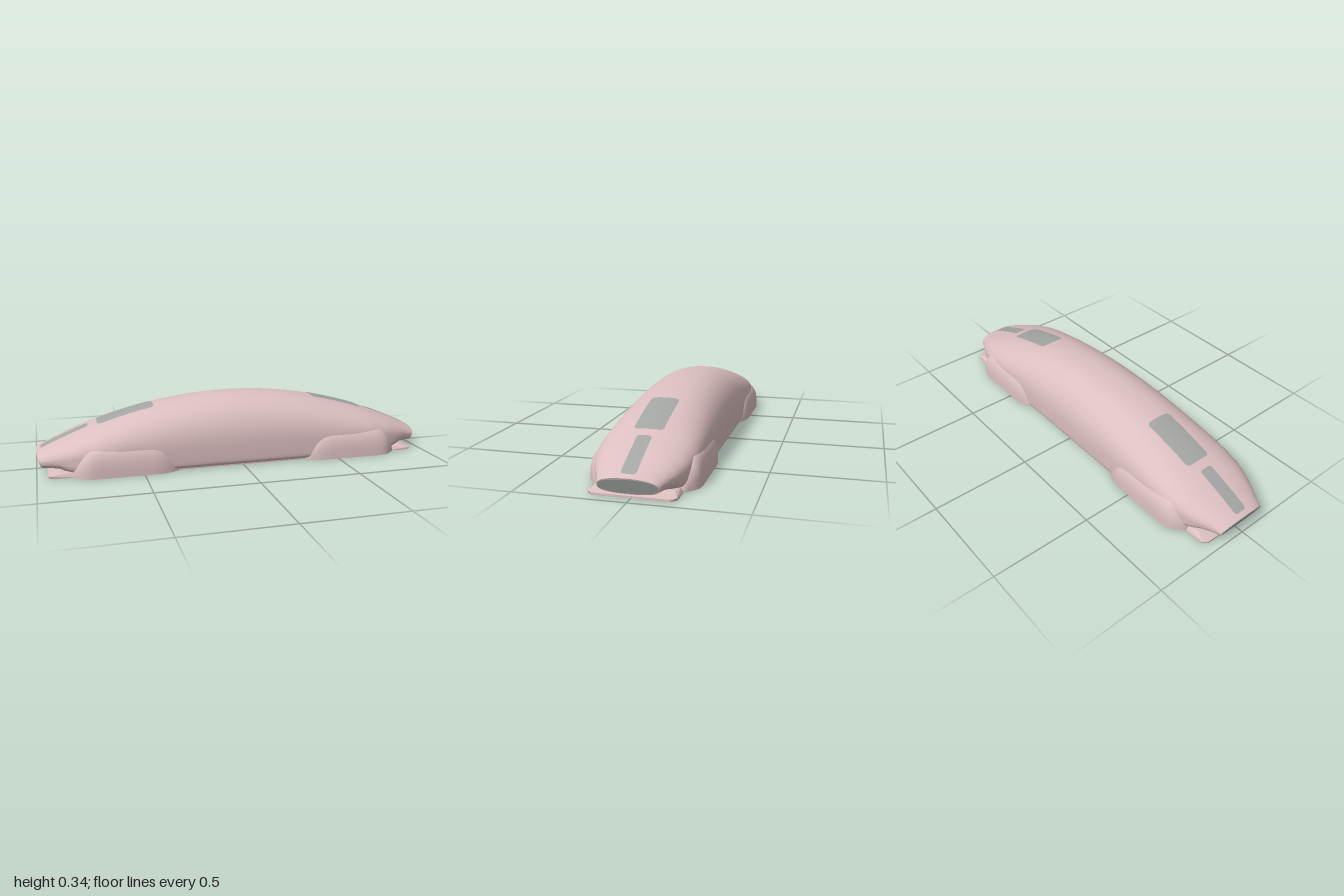
import * as THREE from 'three';
import { toCreasedNormals } from 'three/addons/utils/BufferGeometryUtils.js';
import { ConvexGeometry } from 'three/addons/geometries/ConvexGeometry.js';

const V = (x, y, z) => new THREE.Vector3(x, y, z);

// Piecewise linear lookup in rows of [x, value...]
function lookup(rows, x) {
  let i = 1;
  while (i < rows.length - 1 && x > rows[i][0]) i++;
  const a = rows[i - 1], b = rows[i];
  const t = THREE.MathUtils.clamp((x - a[0]) / (b[0] - a[0]), 0, 1);
  return a.slice(1).map((v, k) => v + (b[k + 1] - v) * t);
}

// Skin closed rings and cap both ends
function loft(rings, flip = false, crease = 0.6) {
  const n = rings[0].length, pos = [], idx = [];
  const tri = (a, b, c) => (flip ? idx.push(a, c, b) : idx.push(a, b, c));
  rings.forEach(r => r.forEach(p => pos.push(p.x, p.y, p.z)));
  for (let i = 0; i < rings.length - 1; i++) {
    for (let j = 0; j < n; j++) {
      const a = i * n + j, b = i * n + (j + 1) % n;
      tri(a, a + n, b);
      tri(b, a + n, b + n);
    }
  }
  [0, rings.length - 1].forEach(i => {
    const c = rings[i].reduce((s, p) => s.add(p), V(0, 0, 0)).divideScalar(n);
    const k = pos.length / 3;
    pos.push(c.x, c.y, c.z);
    for (let j = 0; j < n; j++) {
      const a = i * n + j, b = i * n + (j + 1) % n;
      if (i === 0) tri(k, a, b); else tri(k, b, a);
    }
  });
  const g = new THREE.BufferGeometry();
  g.setAttribute('position', new THREE.Float32BufferAttribute(pos, 3));
  g.setIndex(idx);
  return toCreasedNormals(g, crease);
}

// Hull stations: x, half width, widest height, bottom, squareness below
const HULL = [
  [0, 0.23, 0.1, 0, 9], [0.6, 0.23, 0.1, 0, 9], [0.7, 0.226, 0.098, 0, 9],
  [0.8, 0.208, 0.09, 0.002, 6], [0.9, 0.172, 0.074, 0.02, 3], [1, 0.13, 0.058, 0.024, 2.6],
];
const DOME = 2.3;
const END = 0.997;
const roofY = x => 0.338 - 0.24 * x * x;
const power = (v, e) => Math.sign(v) * Math.pow(Math.abs(v), e);

function hullRing(x, segments = 64) {
  const ax = Math.abs(x), top = roofY(x);
  const [w, mid, low, sq] = lookup(HULL, ax);
  const rake = 0.4 * THREE.MathUtils.smoothstep(ax, 0.85, 1);
  return Array.from({ length: segments }, (_, j) => {
    const a = (j / segments) * Math.PI * 2, s = Math.sin(a);
    const e = 2 / (s >= 0 ? DOME : sq);
    const y = mid + (s >= 0 ? top - mid : mid - low) * power(s, e);
    return V(x - Math.sign(x) * rake * (top - y), y, w * power(Math.cos(a), e));
  });
}

function hullTop(x, z) {
  const [w, mid] = lookup(HULL, Math.abs(x));
  return mid + (roofY(x) - mid) * Math.pow(1 - Math.pow(Math.abs(z) / w, DOME), 1 / DOME);
}

// Rounded panel lying on the roof
function roofPanel(xc, length, halfWidth, r) {
  const g = new THREE.PlaneGeometry(1, 1, 32, 8).rotateX(-Math.PI / 2);
  const p = g.attributes.position;
  for (let i = 0; i < p.count; i++) {
    const dx = Math.sin(p.getX(i) * Math.PI) * length / 2;
    const k = Math.max(0, r - (length / 2 - Math.abs(dx)));
    const half = halfWidth - r + Math.sqrt(Math.max(0, r * r - k * k));
    const z = p.getZ(i) * 2 * half;
    p.setXYZ(i, xc + dx, hullTop(xc + dx, z) + 0.002, z);
  }
  g.computeVertexNormals();
  return g;
}

// Fender stations: x, outer half width, height
const FENDER = [
  [0.33, 0.215, 0.03], [0.36, 0.232, 0.085], [0.39, 0.242, 0.122], [0.42, 0.248, 0.142],
  [0.46, 0.25, 0.15], [0.7, 0.25, 0.15], [0.745, 0.249, 0.142], [0.775, 0.242, 0.122],
  [0.8, 0.225, 0.092], [0.82, 0.206, 0.06], [0.835, 0.19, 0.02],
];

function fenderGeometry(sx, sz) {
  const inner = 0.15;
  const rings = FENDER.map(([x, w, h]) => {
    const ring = [];
    for (let j = 0; j <= 14; j++) {
      const a = (j / 14) * Math.PI / 2;
      const c = Math.pow(Math.max(0, Math.cos(a)), 2 / 3), s = Math.pow(Math.sin(a), 2 / 3);
      ring.push(V(sx * x, h * s, sz * (inner + (w - inner) * c)));
    }
    ring.push(V(sx * x, 0, sz * inner));
    return ring;
  });
  return loft(rings, sx * sz < 0, 0.75);
}

export function createModel() {
  const group = new THREE.Group();
  const pink = new THREE.MeshStandardMaterial({ color: 0xdcbfc0 });
  const grey = new THREE.MeshStandardMaterial({ color: 0xa3a6a3 });
  const add = (name, geometry, material) => {
    const m = new THREE.Mesh(geometry, material);
    m.name = name;
    group.add(m);
  };

  // Arched hull
  const rings = [];
  for (let i = 0; i <= 80; i++) rings.push(hullRing(END * (i / 40 - 1)));
  add('hull', loft(rings), pink);

  // Flat floor
  const floor = [];
  for (const sx of [-1, 1]) for (const sz of [-1, 1]) for (const y of [0, 0.02]) {
    floor.push(V(sx * 0.76, y, sz * 0.21), V(sx * 0.83, y, sz * 0.18));
  }
  add('floor', new ConvexGeometry(floor), pink);

  for (const sx of [-1, 1]) {
    // Wheel fenders
    for (const sz of [-1, 1]) add('fender', fenderGeometry(sx, sz), pink);

    // Low plate under each nose
    const plate = [];
    for (const sz of [-1, 1]) {
      plate.push(
        V(sx * 0.8, 0, sz * 0.19), V(sx * 0.925, 0, sz * 0.19), V(sx * 0.95, 0, sz * 0.165),
        V(sx * 0.8, 0.025, sz * 0.175), V(sx * 0.89, 0.025, sz * 0.17), V(sx * 0.95, 0.01, sz * 0.165),
        V(sx * 0.935, 0.012, sz * 0.19),
      );
    }
    add('nosePlate', new ConvexGeometry(plate), pink);

    // Oval end window
    const rim = hullRing(sx * END);
    const mid = rim.reduce((s, p) => s.add(p), V(0, 0, 0)).divideScalar(rim.length);
    const face = rim.map(p => p.clone().sub(mid).multiply(V(0.88, 0.88, 0.97)).add(mid));
    const shift = d => face.map(p => p.clone().add(V(sx * d, 0, 0)));
    add('endWindow', loft([shift(-0.004), shift(0.003)], sx < 0), grey);

    // Roof windows
    add('roofWindow', roofPanel(sx * 0.56, 0.28, 0.067, 0.02), grey);
    add('noseWindow', roofPanel(sx * 0.86, 0.23, 0.033, 0.015), grey);
  }
  return group;
}
